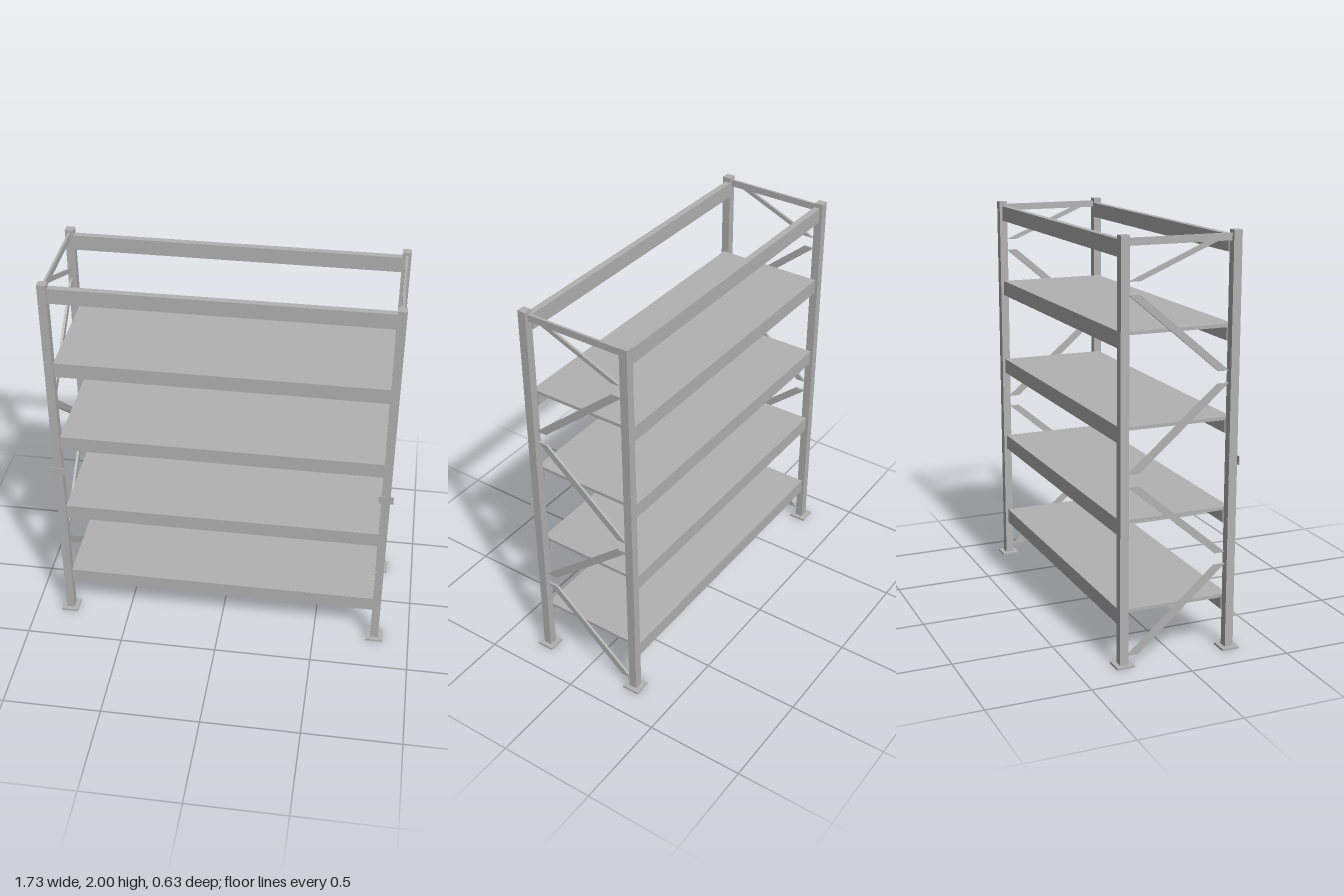
import * as THREE from 'three';

export function createModel() {
  const rack = new THREE.Group();
  rack.name = 'storageRack';
  const steel = new THREE.MeshStandardMaterial({ color: 0xb2b2b2 });
  steel.name = 'grey steel';

  const POST_X = 0.82, POST_Z = 0.273, POST = 0.042, BRACE = 0.012;

  function box(name, w, h, d, x, y, z) {
    const mesh = new THREE.Mesh(new THREE.BoxGeometry(w, h, d), steel);
    mesh.name = name;
    mesh.position.set(x, y, z);
    rack.add(mesh);
  }

  // Diagonal flat bar with horizontal cut ends; corners are [z, y]
  function brace(x, corners) {
    const shape = new THREE.Shape(corners.map(([z, y]) => new THREE.Vector2(-z, y)));
    const geo = new THREE.ExtrudeGeometry(shape, { depth: BRACE, bevelEnabled: false });
    geo.translate(0, 0, -BRACE / 2);
    geo.rotateY(Math.PI / 2);
    const mesh = new THREE.Mesh(geo, steel);
    mesh.name = 'diagonalBrace';
    mesh.position.x = x;
    rack.add(mesh);
  }

  for (const sx of [-1, 1]) {
    const x = sx * POST_X;
    // Posts on square foot plates
    for (const sz of [-1, 1]) {
      box('post', POST, 1.99, POST, x, 1.005, sz * POST_Z);
      box('footPlate', 0.088, 0.01, 0.088, x, 0.005, sz * POST_Z);
    }
    // Small plate on the front of each front post
    box('frontPlate', 0.074, 0.042, 0.003, x, 0.937, POST_Z + POST / 2 + 0.0015);

    // Top cross bar and zigzag bracing of the end frame
    box('topCrossBar', BRACE, 0.034, 0.504, x, 1.969, 0);
    brace(x, [[0.18, 1.952], [-0.192, 1.796], [-0.246, 1.796], [0.122, 1.952]]);
    // Each entry: height at the front end, height at the back end
    for (const [front, back] of [[1.362, 1.738], [1.303, 0.922], [0.487, 0.864], [0.429, 0.045]]) {
      brace(x, [[0.249, front], [0.196, front], [-0.249, back], [-0.196, back]]);
    }
  }

  // Beam pairs; every level but the top carries a shelf panel
  const levels = [0.265, 0.702, 1.138, 1.572, 1.976];
  levels.forEach((top, i) => {
    for (const sz of [-1, 1]) {
      box('beam', 1.598, 0.077, 0.032, 0, top - 0.0385, sz * 0.263);
    }
    if (i < levels.length - 1) box('shelf', 1.598, 0.016, 0.494, 0, top - 0.008, 0);
  });

  return rack;
}
